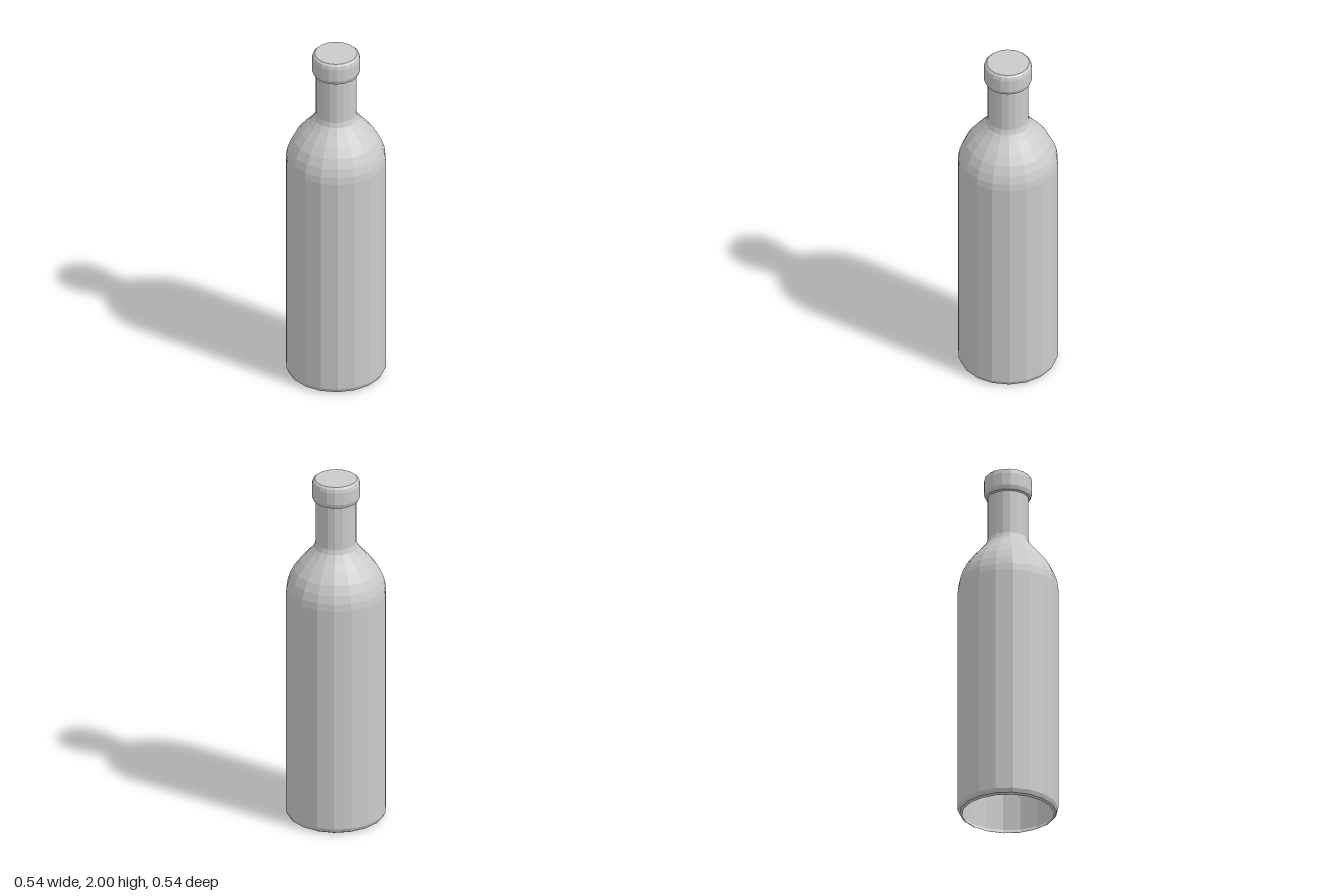
import * as THREE from 'three';

const SIDES = 18;

export function createModel() {
  const group = new THREE.Group();
  group.name = 'bottle';
  const material = new THREE.MeshStandardMaterial({
    color: 0xcccccc, flatShading: true, side: THREE.DoubleSide,
  });

  // Revolves a [radius, height] profile, with a corner of the polygon on the x axis
  function turned(name, profile) {
    const points = profile.map(([r, y]) => new THREE.Vector2(r, y));
    const mesh = new THREE.Mesh(new THREE.LatheGeometry(points, SIDES, Math.PI / 2), material);
    mesh.name = name;
    group.add(mesh);
  }

  // Straight body with a bevelled foot, open underneath
  turned('body', [[0.248, 0], [0.262, 0.008], [0.272, 0.03], [0.272, 1.33]]);

  // Rounded shoulder
  turned('shoulder', [
    [0.272, 1.33], [0.267, 1.37], [0.253, 1.415], [0.228, 1.465],
    [0.19, 1.515], [0.145, 1.565], [0.12, 1.597], [0.111, 1.625],
  ]);

  turned('neck', [[0.111, 1.625], [0.111, 1.872]]);

  // Bevelled lip, closed by a flat top
  turned('lip', [
    [0.111, 1.872], [0.122, 1.877], [0.131, 1.9], [0.131, 1.97],
    [0.126, 1.99], [0.115, 2], [0, 2],
  ]);

  return group;
}
